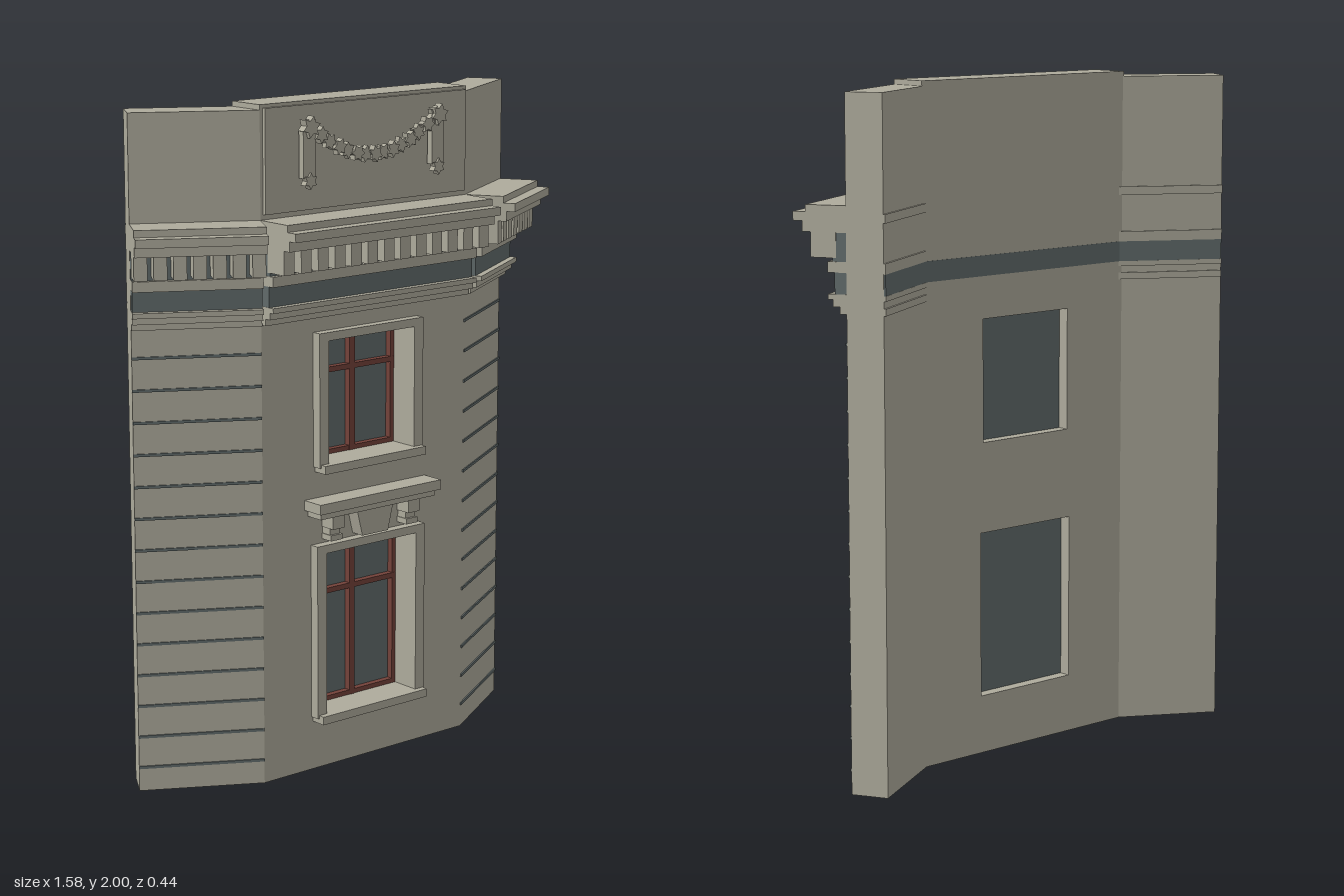
import * as THREE from 'three';

const mat = (name, color) => Object.assign(new THREE.MeshStandardMaterial({ color }), { name });

export function createModel() {
  const stone = mat('stone', 0xaeab9c);
  const slate = mat('slate', 0x616b6b);
  const redwood = mat('redwood', 0x74423a);

  const root = new THREE.Group();
  root.name = 'facade';
  const FRONT = 0.065, BACK = -0.06, HALF = 0.39, WING = 0.37;

  // Box given by its extents
  function box(parent, name, m, x0, x1, y0, y1, z0, z1) {
    const mesh = new THREE.Mesh(new THREE.BoxGeometry(x1 - x0, y1 - y0, z1 - z0), m);
    mesh.position.set((x0 + x1) / 2, (y0 + y1) / 2, (z0 + z1) / 2);
    mesh.name = name;
    parent.add(mesh);
    return mesh;
  }
  function extrude(parent, name, m, shape, z0, z1) {
    const mesh = new THREE.Mesh(new THREE.ExtrudeGeometry(shape, { depth: z1 - z0, bevelEnabled: false }), m);
    mesh.position.z = z0;
    mesh.name = name;
    parent.add(mesh);
    return mesh;
  }
  const poly = (pts, Type = THREE.Shape) => new Type(pts.map(([x, y]) => new THREE.Vector2(x, y)));
  const rect = (w, y0, y1, Type) => poly([[-w, y0], [w, y0], [w, y1], [-w, y1]], Type);

  // Centre wall with two window openings
  const windows = [
    { name: 'upper', w: 0.165, y0: 0.94, y1: 1.305, bar: 1.195, trim: 0.2, top: 1.33, sill: 0.915 },
    { name: 'lower', w: 0.175, y0: 0.175, y1: 0.67, bar: 0.52, trim: 0.21, top: 0.695, sill: 0.15 },
  ];
  const wall = rect(HALF, 0, 2);
  windows.forEach(o => wall.holes.push(rect(o.w, o.y0, o.y1, THREE.Path)));
  extrude(root, 'centreWall', stone, wall, BACK, FRONT);
  box(root, 'parapetPanel', stone, -0.38, 0.38, 1.69, 1.99, 0.06, 0.076);

  // Windows: stone surround, sill, glass and red bars
  for (const o of windows) {
    const g = new THREE.Group();
    g.name = o.name + 'Window';
    root.add(g);
    const trim = rect(o.trim, o.y0 - 0.01, o.top);
    trim.holes.push(rect(o.w, o.y0, o.y1, THREE.Path));
    extrude(g, 'surround', stone, trim, FRONT, 0.095);
    box(g, 'sill', stone, -o.trim + 0.005, o.trim - 0.005, o.sill, o.y0, 0.06, 0.115);
    box(g, 'glass', slate, -o.w, o.w, o.y0, o.y1, -0.025, -0.018);
    const frame = rect(o.w, o.y0, o.y1);
    frame.holes.push(rect(o.w - 0.014, o.y0 + 0.014, o.y1 - 0.014, THREE.Path));
    extrude(g, 'frame', redwood, frame, -0.018, 0.002);
    box(g, 'mullion', redwood, -0.01, 0.01, o.y0, o.y1, -0.018, 0.004);
    box(g, 'transom', redwood, -o.w, o.w, o.bar - 0.008, o.bar + 0.008, -0.018, 0.003);
  }

  // Hood over the lower window, with keystone and brackets
  box(root, 'hoodShelf', stone, -0.235, 0.235, 0.805, 0.835, 0.06, 0.14);
  box(root, 'hoodMoulding', stone, -0.222, 0.222, 0.785, 0.805, 0.06, 0.125);
  extrude(root, 'keystone', stone, poly([[-0.05, 0.705], [0.05, 0.705], [0.07, 0.785], [-0.07, 0.785]]), 0.06, 0.11);
  for (const s of [-1, 1]) {
    const x = s * 0.147;
    box(root, 'bracket', stone, x - 0.022, x + 0.022, 0.745, 0.785, 0.06, 0.117);
    box(root, 'bracketNeck', stone, x - 0.019, x + 0.019, 0.725, 0.745, 0.06, 0.1);
    box(root, 'bracketFoot', stone, x - 0.022, x + 0.022, 0.708, 0.725, 0.06, 0.108);
  }

  // Stepped cornice: name, bottom, top, projection, reaches through the wing wall
  const layers = [
    ['corniceTop', 1.65, 1.675, 0.12, false],
    ['corniceLip', 1.63, 1.655, 0.157, true],
    ['corniceSoffit', 1.6, 1.63, 0.13, false],
    ['ledge', 1.49, 1.52, 0.055, true],
    ['moulding', 1.415, 1.43, 0.055, true],
    ['lowerMoulding', 1.395, 1.415, 0.04, false],
    ['necking', 1.375, 1.395, 0.02, true],
  ];
  function cornice(parent, x0, x1, count, wing) {
    const through = wing ? -0.116 : -0.02;
    for (const [name, y0, y1, d, deep] of layers)
      box(parent, name, stone, x0, x1, y0, y1, deep ? through : -0.01, d);
    const backZ = wing ? -0.1155 : BACK - FRONT - 0.001;
    box(parent, 'darkBand', slate, x0 + 0.001, x1 - 0.001, 1.43, 1.49, backZ, 0.035);
    box(parent, 'dentilBacking', slate, x0 + 0.001, x1 - 0.001, 1.52, 1.6, -0.01, 0.04);
    const pitch = (x1 - x0 - 0.038) / (count - 1);
    for (let i = 0; i < count; i++) {
      const x = x0 + i * pitch;
      box(parent, 'dentil', stone, x, x + 0.038, 1.53, 1.6, 0.03, 0.105);
    }
  }
  const centre = new THREE.Group();
  centre.name = 'centreCornice';
  centre.position.z = FRONT;
  root.add(centre);
  cornice(centre, -HALF, HALF, 13, false);

  // Side wings, turned back by 30 degrees
  for (const s of [-1, 1]) {
    const wing = new THREE.Group();
    wing.name = s > 0 ? 'leftWing' : 'rightWing';
    wing.position.set(s * HALF, 0, FRONT);
    wing.rotation.y = s * Math.PI / 6;
    root.add(wing);
    const x0 = s > 0 ? 0 : -WING, x1 = s > 0 ? WING : 0;
    box(wing, 'wingWall', stone, x0, x1, 0, 1.985, -0.11, 0);
    cornice(wing, x0, x1, 7, true);
    for (let i = 0; i < 14; i++) {
      const y = 0.072 + i * 0.0938;
      box(wing, 'jointLine', slate, x0, x1, y - 0.004, y + 0.004, -0.005, 0.004);
    }
  }

  // Garland of small stars hung between two drops
  const garland = new THREE.Group();
  garland.name = 'garland';
  root.add(garland);
  function star(x, y, r, turn, z1) {
    const pts = [];
    for (let i = 0; i < 12; i++) {
      const a = turn + i * Math.PI / 6, q = i % 2 ? r * 0.6 : r;
      pts.push([x + q * Math.cos(a), y + q * Math.sin(a)]);
    }
    extrude(garland, 'star', stone, poly(pts), 0.09, z1);
  }
  const N = 15;
  for (let i = 0; i < N; i++) {
    const t = (i / (N - 1)) * 2 - 1;
    star(t * 0.235, 1.835 + 0.095 * t * t, 0.025, i * 0.4, i % 2 ? 0.112 : 0.107);
  }
  for (const s of [-1, 1]) {
    const x = s * 0.243;
    star(x, 1.93, 0.032, 0.3, 0.117);
    star(x, 1.777, 0.024, 0.5, 0.112);
    box(garland, 'drop', stone, x - 0.023, x + 0.023, 1.785, 1.92, 0.085, 0.105);
    box(garland, 'hook', stone, x - 0.012, x + 0.012, 1.9, 1.925, 0.07, 0.09);
  }
  return root;
}
